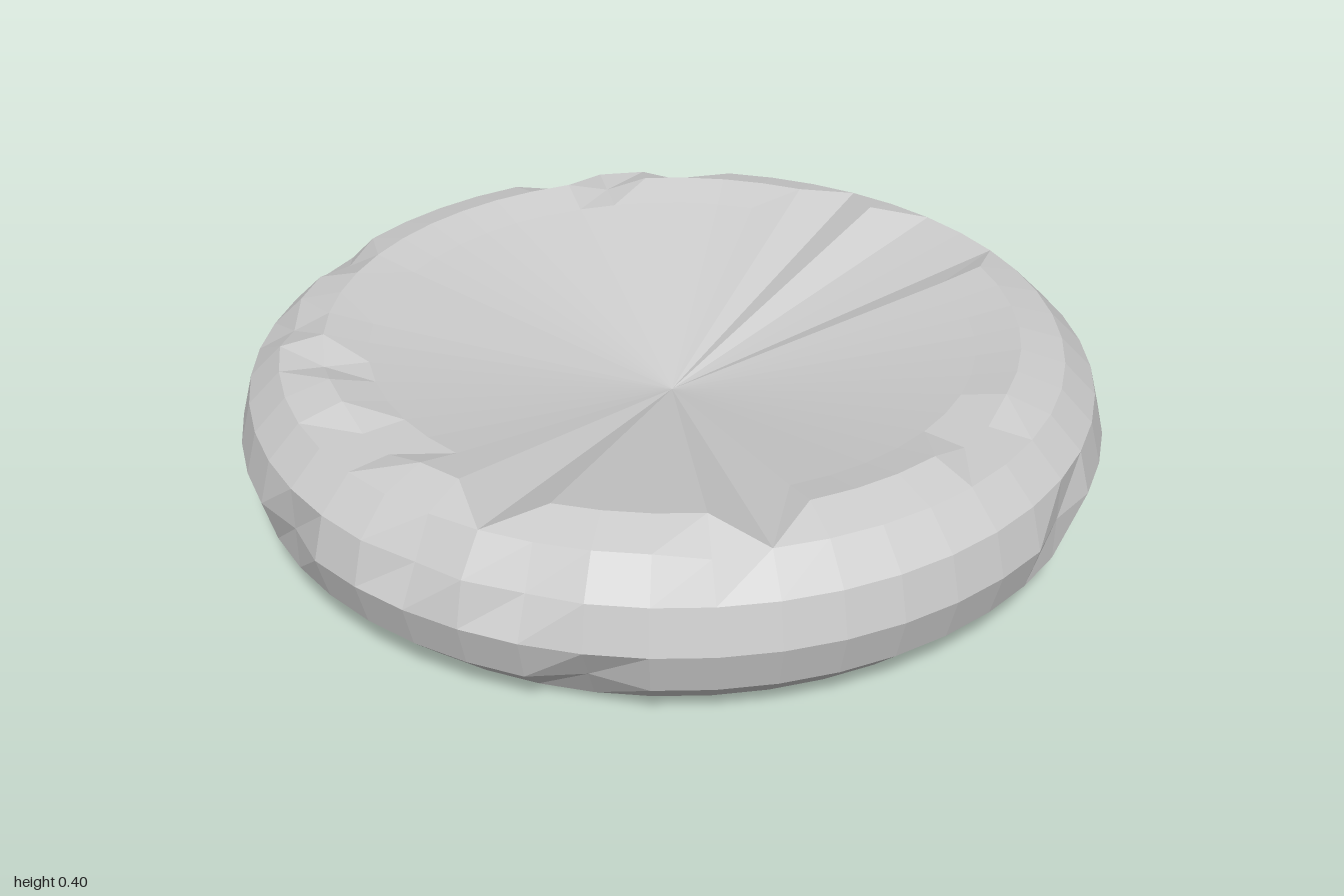
import * as THREE from 'three';

const COLS = 48, MAJOR = 0.795, MINOR = 0.2;
const STEP = Math.PI / 6; // rim section has twelve sides

// Columns (counted from the front towards +x) where the upper dish runs
// out over the rim: section step at which the rim begins (usual: 4)
const topStart = { 11: 2, 12: 2, 13: 2, 14: 3, 15: 2, 16: 3, 29: 3, 30: 3, 39: 3,
  40: 2, 41: 3, 42: 3, 43: 3, 44: 3, 45: 2 };
// The same for the hollow underside (usual: -5)
const lowStart = { 15: -3, 17: -3, 18: -2, 19: -3, 29: -3, 30: -4, 31: -3, 41: -3, 42: -2, 43: -3 };

// Small chips: [column, section step] pulled in to the chord of its neighbours
const chips = new Set([[2, 3], [3, 3], [3, 0], [4, -1], [2, -2], [9, 0], [11, 0], [12, 0], [13, 1], [14, 0],
  [16, 1], [19, 2], [21, 3], [22, 2], [28, 2], [31, 2], [33, 3], [36, 3], [37, 3], [36, 0], [39, 1],
  [41, 1], [44, 2], [18, -1], [30, -2], [42, -1], [8, -3], [25, -3]].map(String));

// Point on the rim section of a column
function rimPoint(col, step) {
  const s = Math.min(topStart[col] ?? 4, Math.max(lowStart[col] ?? -5, step));
  const m = MINOR * (chips.has(`${col},${s}`) ? Math.cos(STEP) : 1);
  const r = MAJOR + m * Math.cos(s * STEP);
  const a = (col / COLS) * Math.PI * 2;
  return new THREE.Vector3(r * Math.sin(a), 0.2 + m * Math.sin(s * STEP), r * Math.cos(a));
}

function faceted(triangles) {
  const points = [];
  for (const [a, b, c] of triangles) {
    // leave out faces collapsed by the dish running over the rim
    if (new THREE.Triangle(a, b, c).getArea() > 1e-7) points.push(a, b, c);
  }
  const g = new THREE.BufferGeometry().setFromPoints(points);
  g.computeVertexNormals();
  return g;
}

export function createModel() {
  const group = new THREE.Group();
  const material = new THREE.MeshStandardMaterial({ color: 0xcccccc, flatShading: true });
  const rim = [], dish = [], underside = [];
  const topCentre = new THREE.Vector3(0, 0.215, 0);
  const lowCentre = new THREE.Vector3(0, 0.2, 0);

  for (let i = 0; i < COLS; i++) {
    const j = (i + 1) % COLS;
    // rounded rim, from the underside hollow out and up to the dish
    for (let s = -5; s < 4; s++) {
      const a = rimPoint(i, s), b = rimPoint(j, s);
      const c = rimPoint(j, s + 1), d = rimPoint(i, s + 1);
      rim.push([a, b, c], [a, c, d]);
    }
    // shallow cones closing both sides
    dish.push([topCentre, rimPoint(i, 4), rimPoint(j, 4)]);
    underside.push([lowCentre, rimPoint(j, -5), rimPoint(i, -5)]);
  }

  for (const [name, triangles] of Object.entries({ rim, dish, underside })) {
    const mesh = new THREE.Mesh(faceted(triangles), material);
    mesh.name = name;
    group.add(mesh);
  }
  return group;
}
